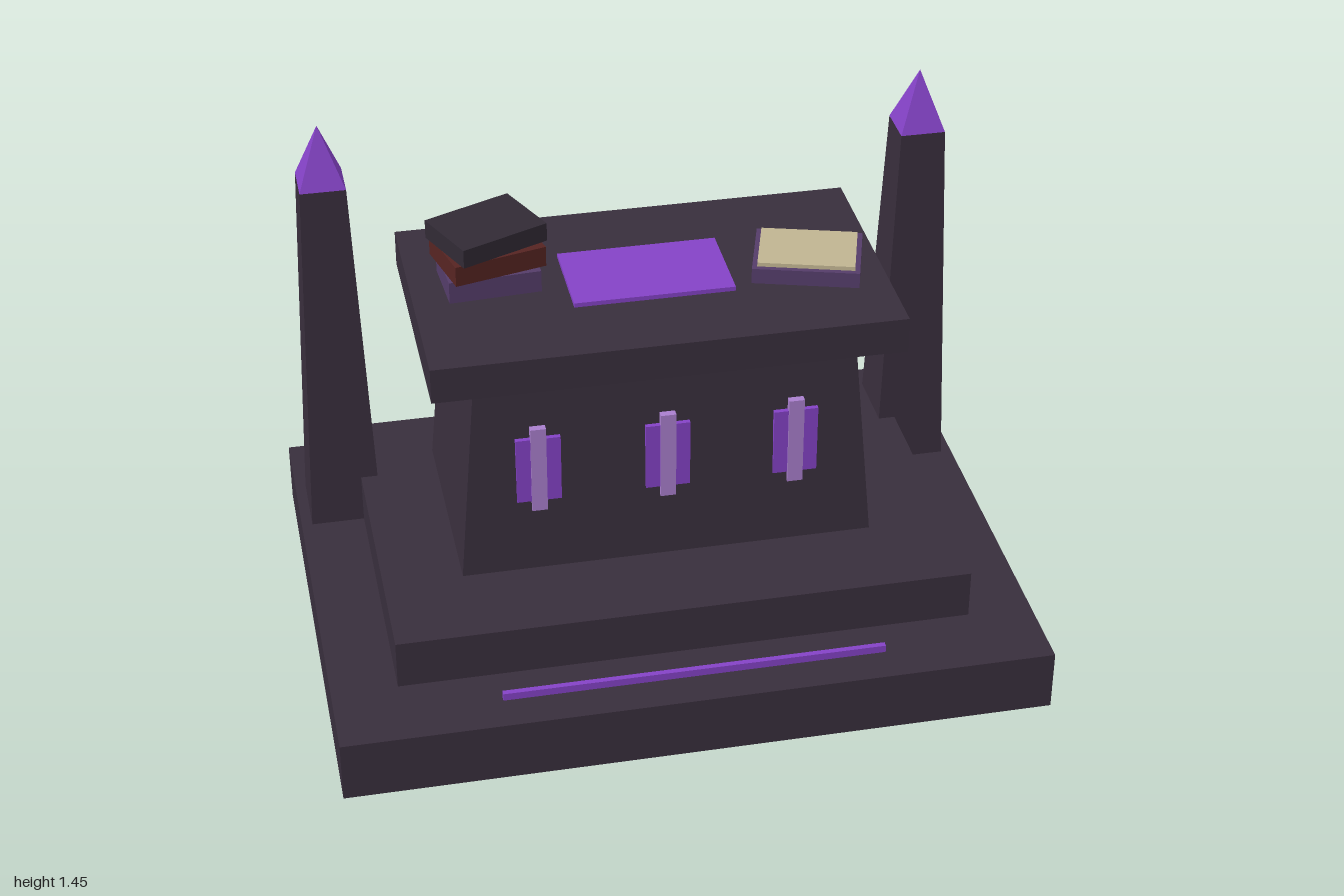
import * as THREE from 'three';

const mat = (name, color) => {
  const m = new THREE.MeshStandardMaterial({ color });
  m.name = name;
  return m;
};

export function createModel() {
  const group = new THREE.Group();
  const stone = mat('dark stone', 0x382e3c);
  const purple = mat('bright purple', 0x8442c6);
  const lilac = mat('pale lilac', 0xa97fcd);
  const plum = mat('plum cover', 0x543c69);
  const red = mat('dark red cover', 0x562422);
  const black = mat('near black cover', 0x312a35);
  const paper = mat('parchment', 0xc0b491);

  const add = (name, geometry, material, x, y, z, turn = 0, parent = group) => {
    const mesh = new THREE.Mesh(geometry, material);
    mesh.name = name;
    mesh.position.set(x, y, z);
    mesh.rotation.y = turn;
    parent.add(mesh);
    return mesh;
  };

  // Box standing on y0 and reaching y1
  const block = (name, material, w, d, y0, y1, x, z, turn, parent) =>
    add(name, new THREE.BoxGeometry(w, y1 - y0, d), material, x, (y0 + y1) / 2, z, turn, parent);

  // Box whose upper face is scaled, for tapered blocks
  const taper = (name, material, w, d, topScale, y0, y1, x, z, parent) => {
    const g = new THREE.BoxGeometry(w, y1 - y0, d);
    const p = g.attributes.position;
    for (let i = 0; i < p.count; i++) {
      if (p.getY(i) > 0) p.setXYZ(i, p.getX(i) * topScale, p.getY(i), p.getZ(i) * topScale);
    }
    g.computeVertexNormals();
    return add(name, g, material, x, (y0 + y1) / 2, z, 0, parent);
  };

  // Stepped platform, altar body and table slab
  block('base', stone, 2, 1.45, 0, 0.18, 0, 0);
  block('step', stone, 1.63, 1.09, 0.18, 0.325, 0, -0.045);
  taper('altarBody', stone, 1.18, 0.64, 0.907, 0.325, 0.95, 0, -0.092);
  block('altarSlab', stone, 1.32, 0.75, 0.95, 1.055, 0, -0.093);

  // Glowing strip on the base and cloth on the slab
  block('baseStrip', purple, 1.08, 0.016, 0.18, 0.202, 0, 0.61);
  block('altarCloth', purple, 0.455, 0.275, 1.055, 1.068, 0, -0.095);

  // Front rune panels
  for (const x of [-0.365, 0, 0.365]) {
    const rune = new THREE.Group();
    rune.name = 'runePanel';
    group.add(rune);
    block('runePlate', purple, 0.126, 0.018, 0.55, 0.755, x, 0.2125, 0, rune);
    block('runeBar', lilac, 0.044, 0.022, 0.52, 0.79, x, 0.216, 0, rune);
  }

  // Obelisks with pyramid tips
  for (const side of [-1, 1]) {
    const obelisk = new THREE.Group();
    obelisk.name = side > 0 ? 'leftObelisk' : 'rightObelisk';
    group.add(obelisk);
    taper('obeliskShaft', stone, 0.208, 0.208, 0.625, 0.18, 1.275, side * 0.865, -0.41, obelisk);
    const tip = new THREE.ConeGeometry(0.065 * Math.SQRT2, 0.175, 4, 1).toNonIndexed();
    tip.computeVertexNormals();
    add('obeliskTip', tip, purple, side * 0.865, 1.3625, -0.41, Math.PI / 4, obelisk);
  }

  // Stack of closed books
  block('bottomBook', plum, 0.26, 0.185, 1.06, 1.125, -0.437, -0.137, 0.06);
  block('middleBook', red, 0.268, 0.198, 1.128, 1.188, -0.438, -0.138, 0.24);
  block('topBook', black, 0.268, 0.204, 1.193, 1.248, -0.44, -0.14, 0.405);

  // Open book: cover with a parchment sheet
  block('openBookCover', plum, 0.3, 0.225, 1.06, 1.106, 0.453, -0.045, -0.29);
  block('openBookPages', paper, 0.272, 0.195, 1.106, 1.118, 0.453, -0.045, -0.29);

  return group;
}
